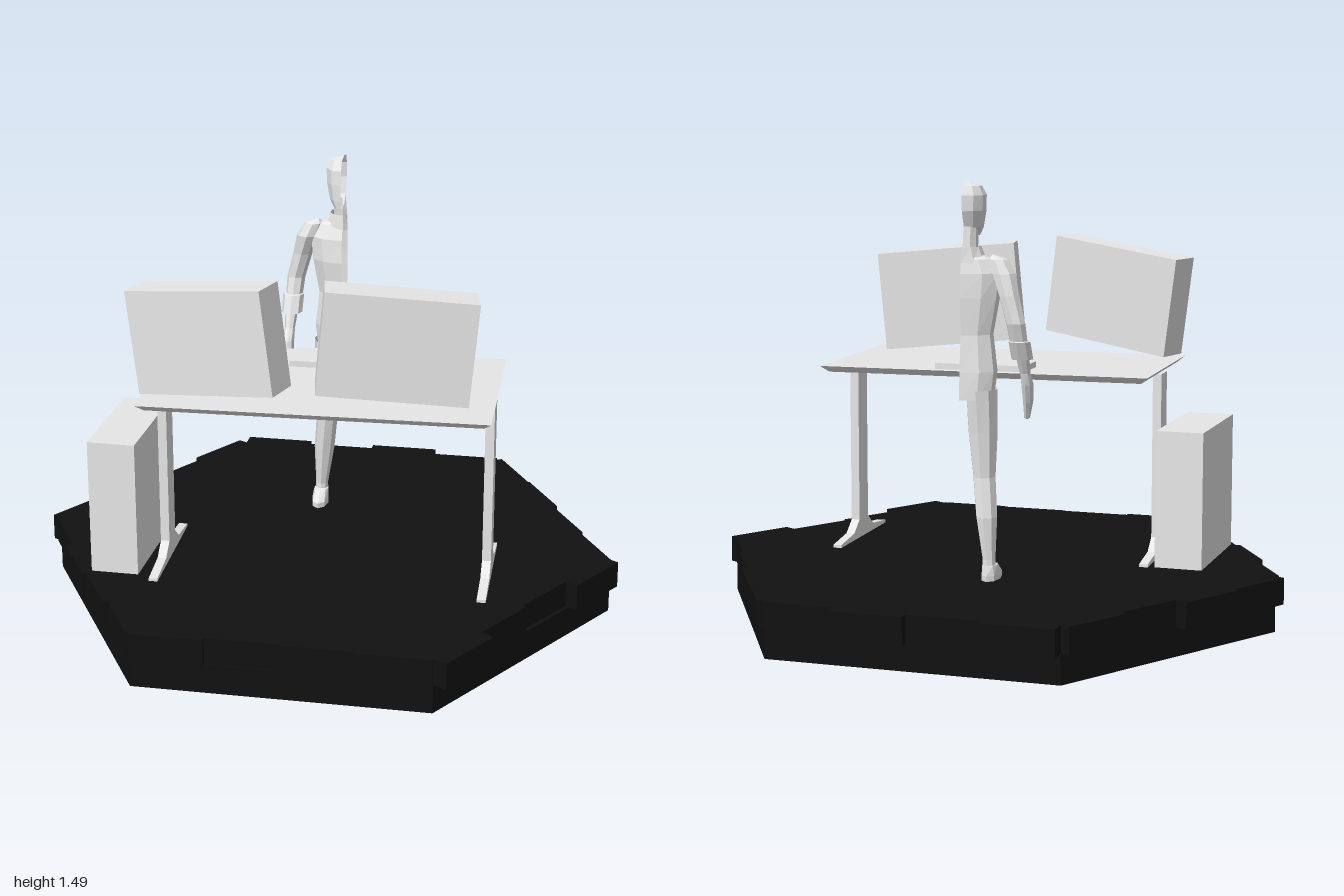
import * as THREE from 'three';

const grey = new THREE.MeshStandardMaterial({ color: 0xe7e7e7, flatShading: true, side: THREE.DoubleSide });
grey.name = 'light grey';
const black = new THREE.MeshStandardMaterial({ color: 0x111111, flatShading: true });
black.name = 'black';

function add(parent, name, geometry, material, x = 0, y = 0, z = 0) {
  const mesh = new THREE.Mesh(geometry, material);
  mesh.name = name;
  mesh.position.set(x, y, z);
  parent.add(mesh);
  return mesh;
}

// Low-poly skin over rings [side offset, y, depth offset, side radius, depth radius].
// An arc of PI makes an open half, an arc of 2 PI a closed limb.
function loft(rings, sides, arc) {
  const pos = [], index = [];
  for (const [s, y, b, rs, rb] of rings) {
    for (let i = 0; i <= sides; i++) {
      const t = (i / sides) * arc;
      pos.push(-(s + rs * Math.sin(t)), y, b + rb * Math.cos(t));
    }
  }
  const row = sides + 1;
  for (let r = 0; r < rings.length - 1; r++) {
    for (let i = 0; i < sides; i++) {
      const p = r * row + i;
      index.push(p, p + row, p + 1, p + 1, p + row, p + row + 1);
    }
  }
  const g = new THREE.BufferGeometry();
  g.setAttribute('position', new THREE.Float32BufferAttribute(pos, 3));
  g.setIndex(index);
  g.computeVertexNormals();
  return g;
}

// Hexagonal platform with an uneven rim of blocks
function buildBase() {
  const base = new THREE.Group();
  base.name = 'base';
  add(base, 'lowerHexagon', new THREE.CylinderGeometry(0.98, 0.98, 0.1, 6), black, 0, 0.05, 0);
  add(base, 'upperHexagon', new THREE.CylinderGeometry(0.955, 0.955, 0.09, 6), black, 0, 0.145, 0);
  const reach = {
    30: [0.86, 0.842, 0.85, 0.86],
    90: [0.9, 0.85, 0.835, 0.88],
    150: [0.85, 0.86, 0.875, 0.87],
    210: [0.865, 0.912, 0.88, 0.91],
    270: [0.885, 0.86, 0.905, 0.885],
    330: [0.86, 0.885, 0.87, 0.857],
  };
  for (const [deg, list] of Object.entries(reach)) {
    const edge = new THREE.Group();
    edge.name = 'rimEdge';
    edge.rotation.y = THREE.MathUtils.degToRad(Number(deg));
    list.forEach((r, i) => {
      const depth = r - 0.75;
      add(edge, 'rimBlock', new THREE.BoxGeometry(0.245, 0.09, depth), black, (i - 1.5) * 0.245, 0.145, 0.75 + depth / 2);
    });
    base.add(edge);
  }
  return base;
}

// Table with bevelled top and two splayed legs
function buildDesk() {
  const desk = new THREE.Group();
  desk.name = 'desk';
  const top = new THREE.BoxGeometry(1.148, 0.022, 0.642);
  const p = top.attributes.position;
  for (let i = 0; i < p.count; i++) {
    if (p.getY(i) < 0) {
      p.setX(i, p.getX(i) - Math.sign(p.getX(i)) * 0.025);
      p.setZ(i, p.getZ(i) - Math.sign(p.getZ(i)) * 0.025);
    }
  }
  top.computeVertexNormals();
  add(desk, 'tableTop', top, grey, 0, 0.834, 0);
  add(desk, 'keyboard', new THREE.BoxGeometry(0.318, 0.02, 0.145), grey, 0.013, 0.855, -0.209);

  const half = [[0.235, 0.19], [0.235, 0.2], [0.1, 0.215], [0.045, 0.255], [0.045, 0.823]];
  const outline = [...half, ...half.map(([b, y]) => [-b, y]).reverse()];
  const shape = new THREE.Shape(outline.map(([b, y]) => new THREE.Vector2(b, y)));
  const leg = new THREE.ExtrudeGeometry(shape, { depth: 0.03, bevelEnabled: false });
  leg.translate(0, 0, -0.015).rotateY(Math.PI / 2);
  for (const side of [-1, 1]) add(desk, 'tableLeg', leg, grey, side * 0.55, 0, 0);
  return desk;
}

// Standing figure, modelled as one half that is open at its centre plane
function buildFigure() {
  const figure = new THREE.Group();
  figure.name = 'halfFigure';
  const half = (name, rings) => add(figure, name, loft(rings.map((r) => [0, ...r]), 5, Math.PI), grey);
  const limb = (name, rings) => add(figure, name, loft(rings, 8, Math.PI * 2), grey);

  half('head', [
    [1.315, -0.48, 0, 0], [1.318, -0.475, 0.03, 0.04], [1.345, -0.492, 0.046, 0.06], [1.4, -0.503, 0.058, 0.072],
    [1.45, -0.506, 0.06, 0.07], [1.48, -0.508, 0.046, 0.052], [1.49, -0.508, 0, 0],
  ]);
  half('neck', [[1.23, -0.53, 0.045, 0.048], [1.28, -0.525, 0.038, 0.042], [1.35, -0.515, 0.036, 0.042]]);
  half('collar', [[1.235, -0.53, 0.07, 0.06], [1.285, -0.53, 0.05, 0.055]]);
  half('torso', [
    [0.78, -0.535, 0, 0], [0.79, -0.535, 0.095, 0.075], [0.88, -0.53, 0.105, 0.075], [1.0, -0.525, 0.09, 0.066],
    [1.12, -0.522, 0.112, 0.075], [1.2, -0.525, 0.12, 0.07], [1.245, -0.53, 0.09, 0.055], [1.265, -0.528, 0.04, 0.045],
  ]);
  limb('sleeve', [
    [0.185, 0.92, -0.51, 0, 0], [0.185, 0.92, -0.51, 0.037, 0.038], [0.182, 0.98, -0.535, 0.037, 0.04],
    [0.18, 0.982, -0.538, 0.03, 0.032], [0.175, 1.04, -0.553, 0.032, 0.036], [0.15, 1.13, -0.545, 0.034, 0.042],
    [0.128, 1.2, -0.53, 0.04, 0.048], [0.108, 1.245, -0.527, 0.032, 0.036], [0.09, 1.26, -0.527, 0, 0],
  ]);
  limb('hand', [
    [0.18, 0.71, -0.43, 0, 0], [0.18, 0.715, -0.432, 0.01, 0.015], [0.187, 0.77, -0.445, 0.017, 0.028],
    [0.19, 0.83, -0.465, 0.02, 0.032], [0.188, 0.87, -0.485, 0.018, 0.022], [0.185, 0.94, -0.515, 0.024, 0.026],
  ]);
  limb('leg', [
    [0.085, 0.215, -0.555, 0.024, 0.03], [0.085, 0.26, -0.555, 0.022, 0.028], [0.075, 0.4, -0.548, 0.036, 0.044],
    [0.062, 0.53, -0.53, 0.038, 0.044], [0.056, 0.68, -0.525, 0.05, 0.06], [0.053, 0.82, -0.53, 0.053, 0.07],
  ]);
  limb('foot', [
    [0.087, 0.19, -0.53, 0, 0], [0.087, 0.19, -0.53, 0.03, 0.066], [0.087, 0.208, -0.53, 0.03, 0.066],
    [0.086, 0.24, -0.548, 0.026, 0.038], [0.086, 0.25, -0.553, 0, 0],
  ]);
  return figure;
}

export function createModel() {
  const model = new THREE.Group();
  model.name = 'workstation';
  model.add(buildBase());

  // Desk and figure share one turned frame
  const frame = new THREE.Group();
  frame.name = 'workplace';
  frame.position.set(0.127, 0, 0.164);
  frame.rotation.y = 0.559;
  const figure = buildFigure();
  figure.position.x = -0.016;
  frame.add(buildDesk(), figure);
  model.add(frame);

  // Two tilted screens
  const screen = new THREE.BoxGeometry(0.492, 0.345, 0.127);
  add(model, 'leftScreen', screen, grey, -0.03, 1.064, 0.561).rotation.set(0, 0.253, 0.133, 'YXZ');
  add(model, 'rightScreen', screen, grey, 0.444, 1.052, 0.187).rotation.set(0, 0.724, -0.09, 'YXZ');

  // Computer case on the floor
  add(model, 'computerCase', new THREE.BoxGeometry(0.162, 0.465, 0.445), grey, -0.464, 0.427, 0.503).rotation.y = 0.515;
  return model;
}
